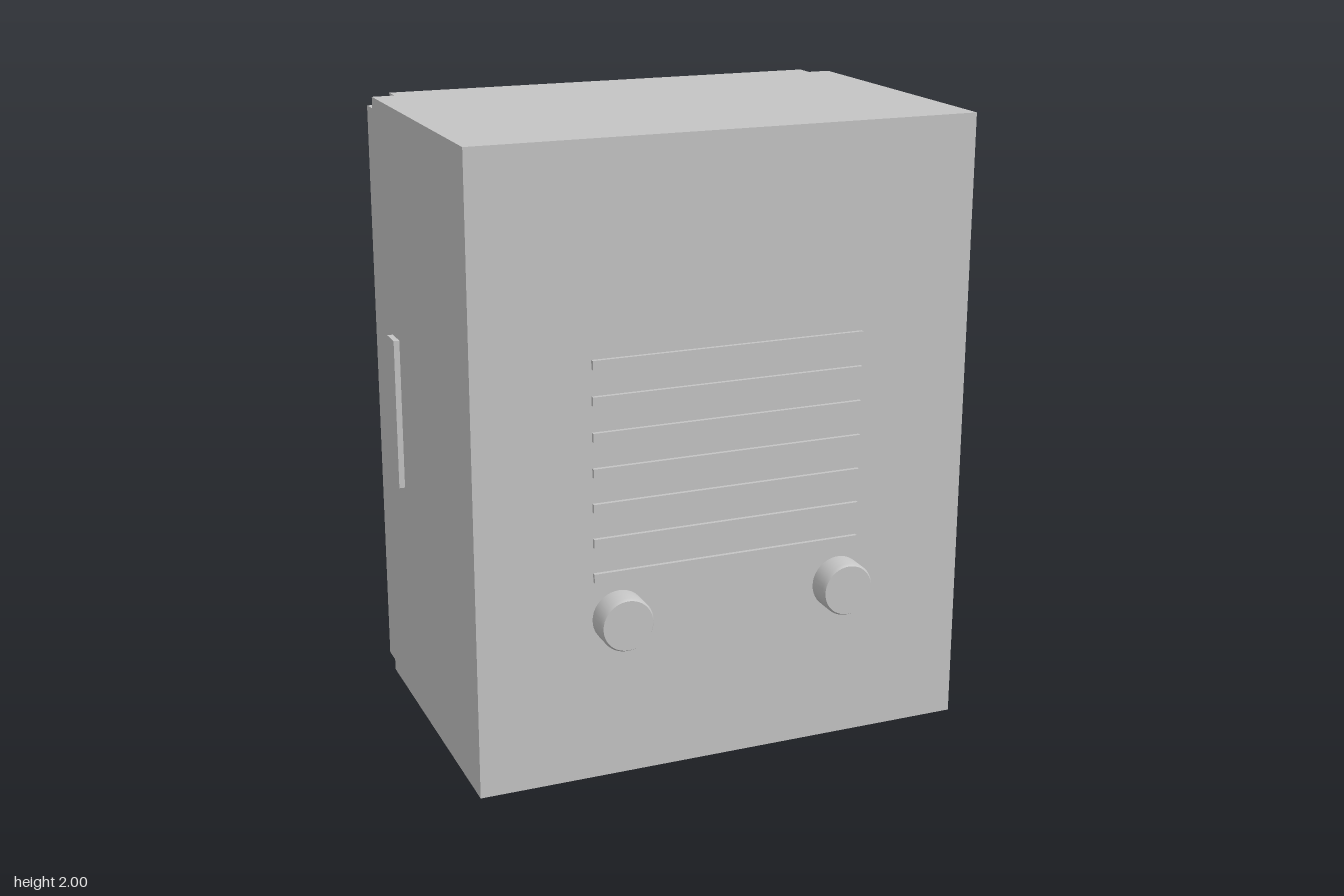
import * as THREE from 'three';
import { toCreasedNormals } from 'three/addons/utils/BufferGeometryUtils.js';

const grey = new THREE.MeshStandardMaterial({ color: 0xc4c4c4 });
grey.name = 'plain grey';

const LENS_Y = 1.26;

export function createModel() {
  const model = new THREE.Group();
  model.name = 'signalBox';

  const add = (name, geometry, x = 0, y = 0, z = 0) => {
    const mesh = new THREE.Mesh(geometry, grey);
    mesh.name = name;
    mesh.position.set(x, y, z);
    model.add(mesh);
    return mesh;
  };
  // Box given by its limits on each axis
  const box = (name, x0, x1, y0, y1, z0, z1) =>
    add(name, new THREE.BoxGeometry(x1 - x0, y1 - y0, z1 - z0), (x0 + x1) / 2, (y0 + y1) / 2, (z0 + z1) / 2);
  // Shape pushed from z0 to z1, with smooth round walls and sharp edges
  const extrude = (name, shape, z0, z1) => add(name, toCreasedNormals(
    new THREE.ExtrudeGeometry(shape, { depth: z1 - z0, bevelEnabled: false, curveSegments: 64 }), 0.5), 0, 0, z0);
  // Turned part whose axis points along z
  const turned = (name, profile, x, y, z, dir, sides) => {
    const points = profile.map(([r, h]) => new THREE.Vector2(r, h));
    const mesh = add(name, toCreasedNormals(new THREE.LatheGeometry(points, sides), 0.6), x, y, z);
    mesh.rotation.x = dir * Math.PI / 2;
    return mesh;
  };
  const lensHole = r => new THREE.Path().absarc(0, LENS_Y, r, 0, Math.PI * 2, true);
  const plateWithHole = (w, y0, y1) => {
    const s = new THREE.Shape();
    s.moveTo(-w, y0).lineTo(w, y0).lineTo(w, y1).lineTo(-w, y1).closePath();
    s.holes.push(lensHole(0.585));
    return s;
  };

  // Housing with a round recess at the back
  box('housing', -0.815, 0.815, 0, 2, -0.32, 0.63);
  extrude('housingRear', plateWithHole(0.815, 0, 2), -0.37, -0.32);
  extrude('backPanel', plateWithHole(0.755, 0.035, 1.965), -0.4, -0.37);

  // Raised frame around the back panel
  box('topRail', -0.74, 0.74, 1.97, 2, -0.437, -0.37);
  box('bottomRail', -0.74, 0.74, 0, 0.03, -0.437, -0.37);

  for (const side of [-1, 1]) {
    const cx = side * 0.785;
    box('sideRail', cx - 0.03, cx + 0.03, 0.037, 1.963, -0.437, -0.37);
    // Screws on the rails
    for (const y of [0.15, 1.855]) {
      turned('screw', [[0, 0], [0.018, 0], [0.018, 0.008], [0.024, 0.012], [0.022, 0.024], [0, 0.024]],
        side * 0.775, y, -0.437, -1, 16);
    }
    // Side grips
    const gx = side * 0.82;
    box('sideGrip', gx - 0.014, gx + 0.014, 0.75, 1.25, -0.22, -0.14);
    // Front knobs
    turned('knob', [[0, 0], [0.06, 0], [0.06, 0.018], [0.08, 0.018], [0.086, 0.026],
      [0.086, 0.094], [0.08, 0.104], [0, 0.104]], side * 0.37, 0.54, 0.63, 1, 40);
  }

  // Lens, bezel ring and half-round hood
  turned('lens', [[0, 0], [0.585, 0], [0.585, 0.015], [0, 0.015]], 0, LENS_Y, -0.32, -1, 96);
  const ring = new THREE.Shape().absarc(0, LENS_Y, 0.66, 0, Math.PI * 2, false);
  ring.holes.push(lensHole(0.585));
  extrude('bezelRing', ring, -0.453, -0.4);

  const hood = new THREE.Shape();
  hood.absarc(0, LENS_Y, 0.663, 0, Math.PI, false);
  hood.absarc(0, LENS_Y, 0.63, Math.PI, 0, true);
  hood.closePath();
  extrude('hood', hood, -0.735, -0.445);

  // Row of buttons under the lens
  for (let i = 0; i < 4; i++) {
    const w = 0.11, h = 0.053, r = 0.012, cx = (i - 1.5) * 0.268, cy = 0.325;
    const s = new THREE.Shape();
    s.absarc(cx + w - r, cy + h - r, r, 0, Math.PI / 2, false);
    s.absarc(cx - w + r, cy + h - r, r, Math.PI / 2, Math.PI, false);
    s.absarc(cx - w + r, cy - h + r, r, Math.PI, Math.PI * 1.5, false);
    s.absarc(cx + w - r, cy - h + r, r, Math.PI * 1.5, Math.PI * 2, false);
    add('button', toCreasedNormals(new THREE.ExtrudeGeometry(s,
      { depth: 0.042, bevelEnabled: false, curveSegments: 4 }), 0.5), 0, 0, -0.442);
  }

  // Speaker slats on the front
  for (let i = 0; i < 7; i++) {
    const y = 0.668 + i * 0.1115;
    box('speakerSlat', -0.443, 0.443, y - 0.014, y + 0.014, 0.62, 0.643);
  }

  return model;
}
